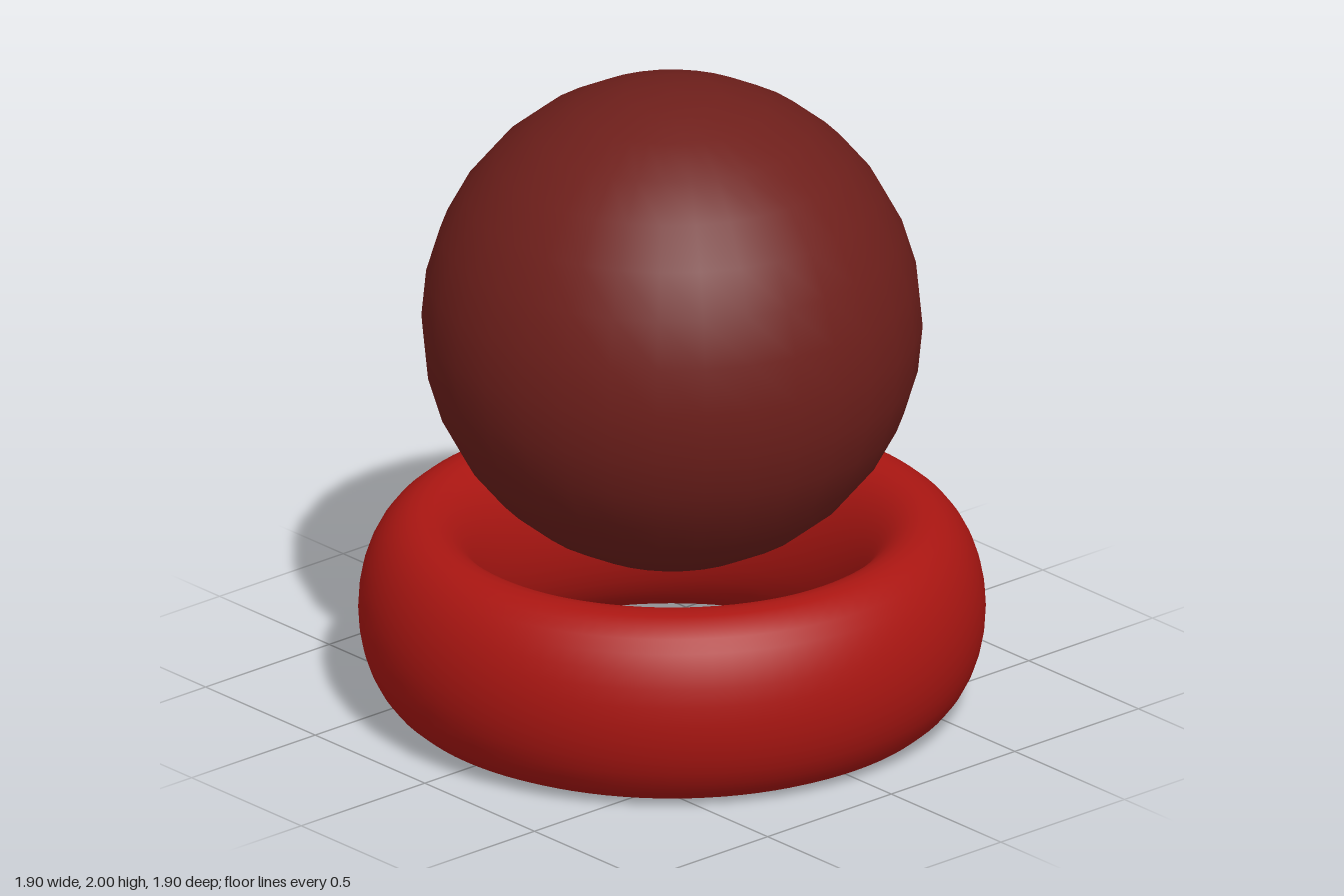
import * as THREE from 'three';

function part(name, geometry, color, y) {
  const mesh = new THREE.Mesh(geometry, new THREE.MeshStandardMaterial({ color }));
  mesh.name = name;
  mesh.position.y = y;
  return mesh;
}

export function createModel() {
  const group = new THREE.Group();
  group.name = 'ballOnRing';

  // Ball resting above the ring's opening
  group.add(part('ball', new THREE.SphereGeometry(0.76, 32, 16), 0x6e1f1b, 1.24));

  // Open ring base: a torus lying flat, stretched upwards to an oval section
  const ring = new THREE.TorusGeometry(0.76, 0.19, 32, 96);
  ring.rotateX(-Math.PI / 2);
  ring.scale(1, 1.6, 1);
  group.add(part('ringBase', ring, 0xaa1612, 0.304));

  return group;
}
